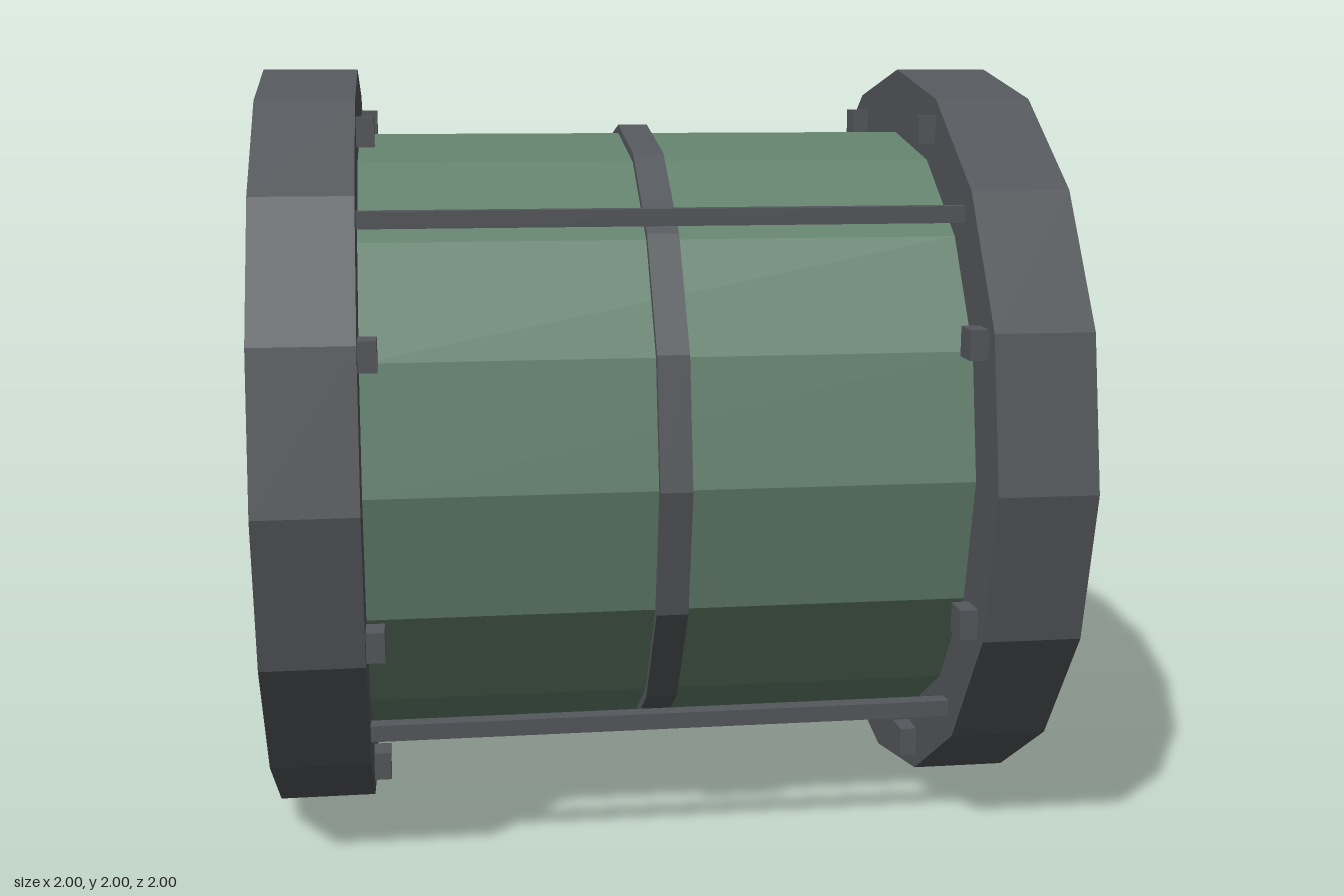
import * as THREE from 'three';

const SIDES = 16;

export function createModel() {
  const model = new THREE.Group();
  model.name = 'flangedPipe';

  const metal = new THREE.MeshStandardMaterial({ color: 0x55585c, flatShading: true });
  metal.name = 'dark grey metal';
  const green = new THREE.MeshStandardMaterial({ color: 0x64826e, flatShading: true });
  green.name = 'muted green';

  function add(name, geometry, material, x = 0, y = 1, z = 0) {
    const mesh = new THREE.Mesh(geometry, material);
    mesh.name = name;
    mesh.position.set(x, y, z);
    model.add(mesh);
  }

  // Faceted ring about the x axis from [radius, x] profile points
  function ring(profile) {
    const points = profile.map(([r, x]) => new THREE.Vector2(r, x));
    return new THREE.LatheGeometry(points, SIDES).rotateZ(-Math.PI / 2);
  }

  // Pipe wall and the bore that runs through both flanges
  add('pipeWall', ring([[0.827, -0.75], [0.827, 0.75]]), green);
  add('pipeBore', ring([[0.627, 1], [0.627, -1]]), green);

  // Raised band round the middle
  add('middleBand', ring([[0.8, -0.04], [0.85, -0.04], [0.85, 0.04], [0.8, 0.04]]), metal);

  // End flanges, each with eight bolts on its inner face
  const flange = ring([[0.627, -0.125], [1, -0.125], [1, 0.125], [0.627, 0.125]]);
  const bolt = new THREE.BoxGeometry(0.06, 0.075, 0.075);
  for (const side of [-1, 1]) {
    add(side > 0 ? 'leftFlange' : 'rightFlange', flange, metal, side * 0.875);
    for (let i = 0; i < 8; i++) {
      const a = (i + 0.5) * Math.PI / 4;
      add('bolt', bolt, metal, side * 0.735, 1 + 0.914 * Math.sin(a), 0.914 * Math.cos(a));
    }
  }

  // Four tie rods joining the flanges
  const rod = new THREE.BoxGeometry(1.52, 0.042, 0.042);
  for (const sy of [-1, 1]) {
    for (const sz of [-1, 1]) add('tieRod', rod, metal, 0, 1 + sy * 0.646, sz * 0.646);
  }

  return model;
}
